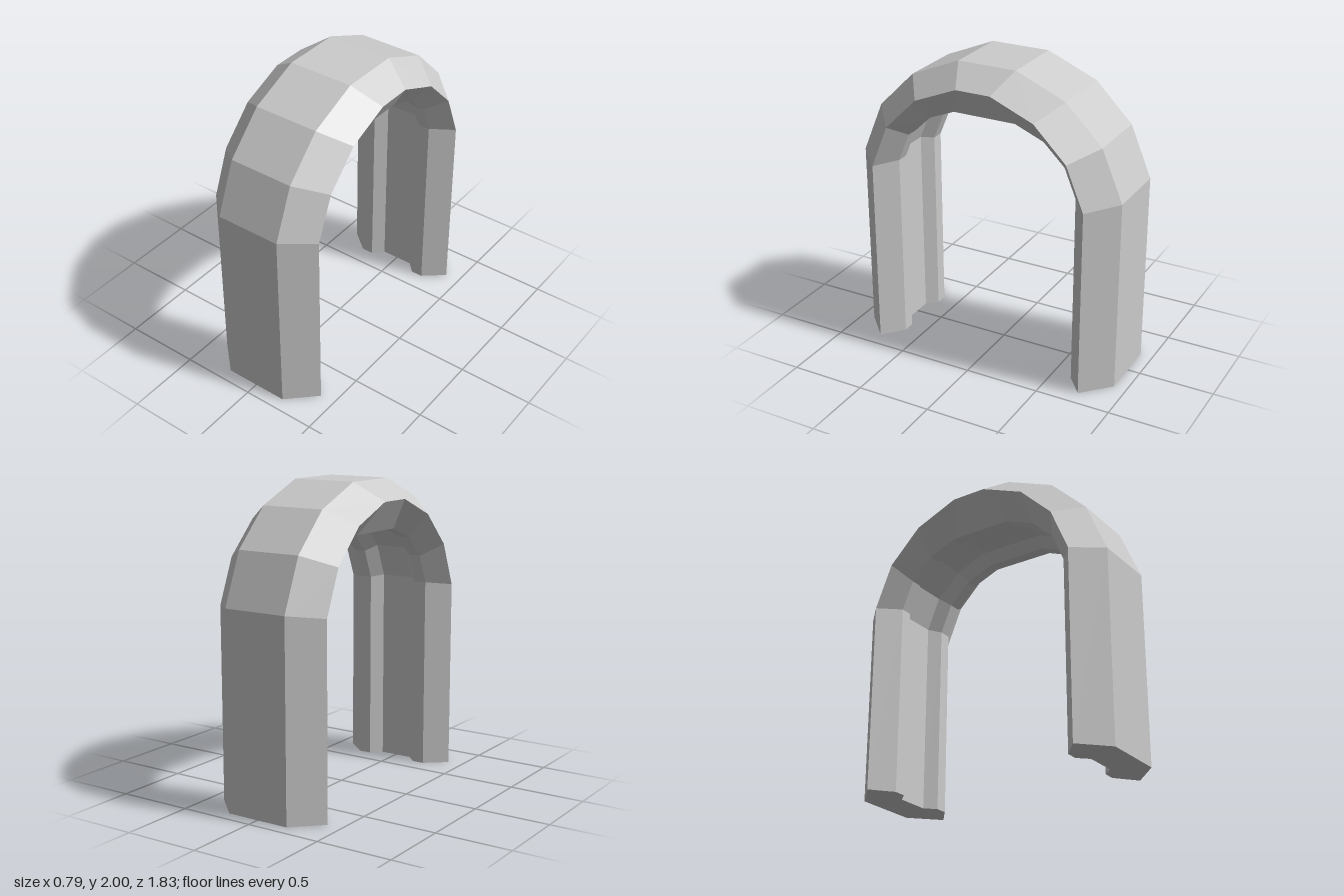
import * as THREE from 'three';

// Half-arch profiles as [z, y], from the foot up to the crown
const OUTER = [[0.915, 0], [0.915, 1.28], [0.775, 1.615], [0.53, 1.86], [0.197, 2]];
const EDGE = [[0.743, 0], [0.743, 1.255], [0.625, 1.542], [0.407, 1.76], [0.117, 1.88]];
const LIP = [[0.628, 0], [0.628, 1.27], [0.55, 1.46], [0.407, 1.598], [0.213, 1.677]];
const GROOVE = [[0.695, 0], [0.695, 1.283], [0.607, 1.498], [0.443, 1.656], [0.226, 1.744]];

// Right half of the cross-section: [x, profile followed]; the left half mirrors it
const HALF = [[0.218, OUTER], [0.397, EDGE], [0.258, LIP], [0.177, LIP], [0.112, GROOVE]];
const SECTION = [...HALF, ...HALF.map(([x, p]) => [-x, p]).reverse()];

function archGeometry() {
  const n = SECTION.length, stations = 10;
  const pos = [], index = [];

  // One section ring per station, over the crown from front foot to back foot
  for (let i = 0; i < stations; i++) {
    const back = i > 4;
    for (const [x, profile] of SECTION) {
      const [z, y] = profile[back ? stations - 1 - i : i];
      pos.push(x, y, back ? -z : z);
    }
  }

  // Skin between neighbouring rings
  for (let i = 0; i < stations - 1; i++) {
    for (let j = 0; j < n; j++) {
      const k = (j + 1) % n;
      const a = i * n + j, b = i * n + k, c = b + n, d = a + n;
      index.push(a, b, c, a, c, d);
    }
  }

  // Soles of the two feet
  const cap = [[0, 1, 2], [0, 2, 3], [0, 3, 4], [0, 4, 5], [0, 5, 9], [9, 5, 6], [9, 6, 7], [9, 7, 8]];
  const last = (stations - 1) * n;
  for (const [a, b, c] of cap) {
    index.push(a, c, b);
    index.push(last + a, last + b, last + c);
  }

  const geometry = new THREE.BufferGeometry();
  geometry.setAttribute('position', new THREE.Float32BufferAttribute(pos, 3));
  geometry.setIndex(index);
  const flat = geometry.toNonIndexed();
  flat.computeVertexNormals();
  return flat;
}

export function createModel() {
  const group = new THREE.Group();
  group.name = 'archway';
  const material = new THREE.MeshStandardMaterial({ color: 0xcccccc, flatShading: true });
  const arch = new THREE.Mesh(archGeometry(), material);
  arch.name = 'groovedArch';
  group.add(arch);
  return group;
}
